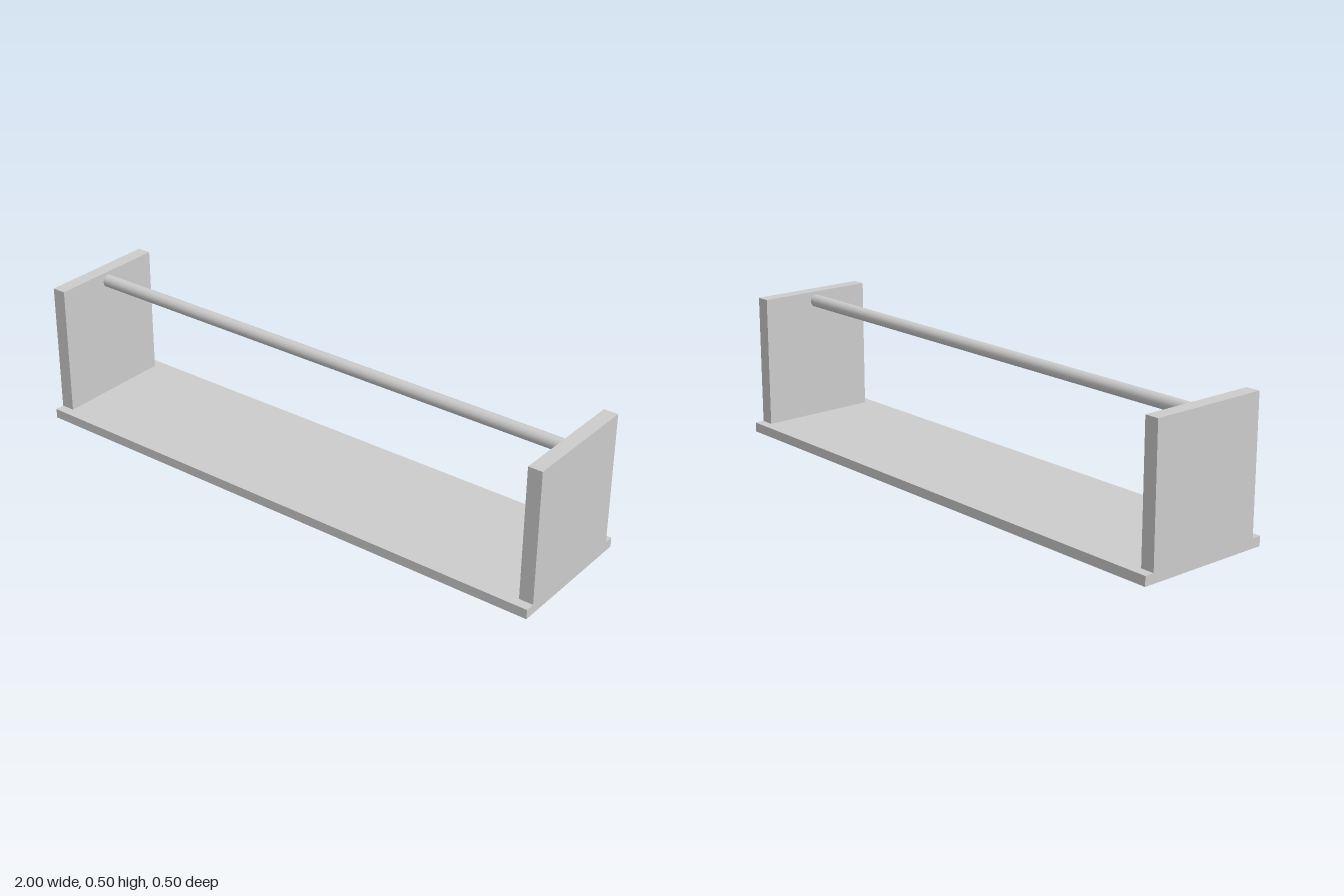
import * as THREE from 'three';

export function createModel() {
  const group = new THREE.Group();
  const material = new THREE.MeshStandardMaterial({ color: 0xcccccc });

  const add = (name, geometry, x, y, z) => {
    const mesh = new THREE.Mesh(geometry, material);
    mesh.name = name;
    mesh.position.set(x, y, z);
    group.add(mesh);
  };

  const baseHeight = 0.034;
  const totalHeight = 0.502;
  const panelThickness = 0.05;
  const panelHeight = totalHeight - baseHeight;

  // Flat base board
  add('base', new THREE.BoxGeometry(2, baseHeight, 0.502), 0, baseHeight / 2, 0);

  // End panels, standing on the base flush with its ends
  for (const [name, side] of [['leftPanel', 1], ['rightPanel', -1]]) {
    add(name, new THREE.BoxGeometry(panelThickness, panelHeight, 0.434),
      side * (1 - panelThickness / 2), baseHeight + panelHeight / 2, 0);
  }

  // Round rail between the panels
  const rail = new THREE.CylinderGeometry(0.0225, 0.0225, 2 - 2 * panelThickness, 32);
  rail.rotateZ(Math.PI / 2);
  add('rail', rail, 0, 0.468, 0);

  return group;
}
